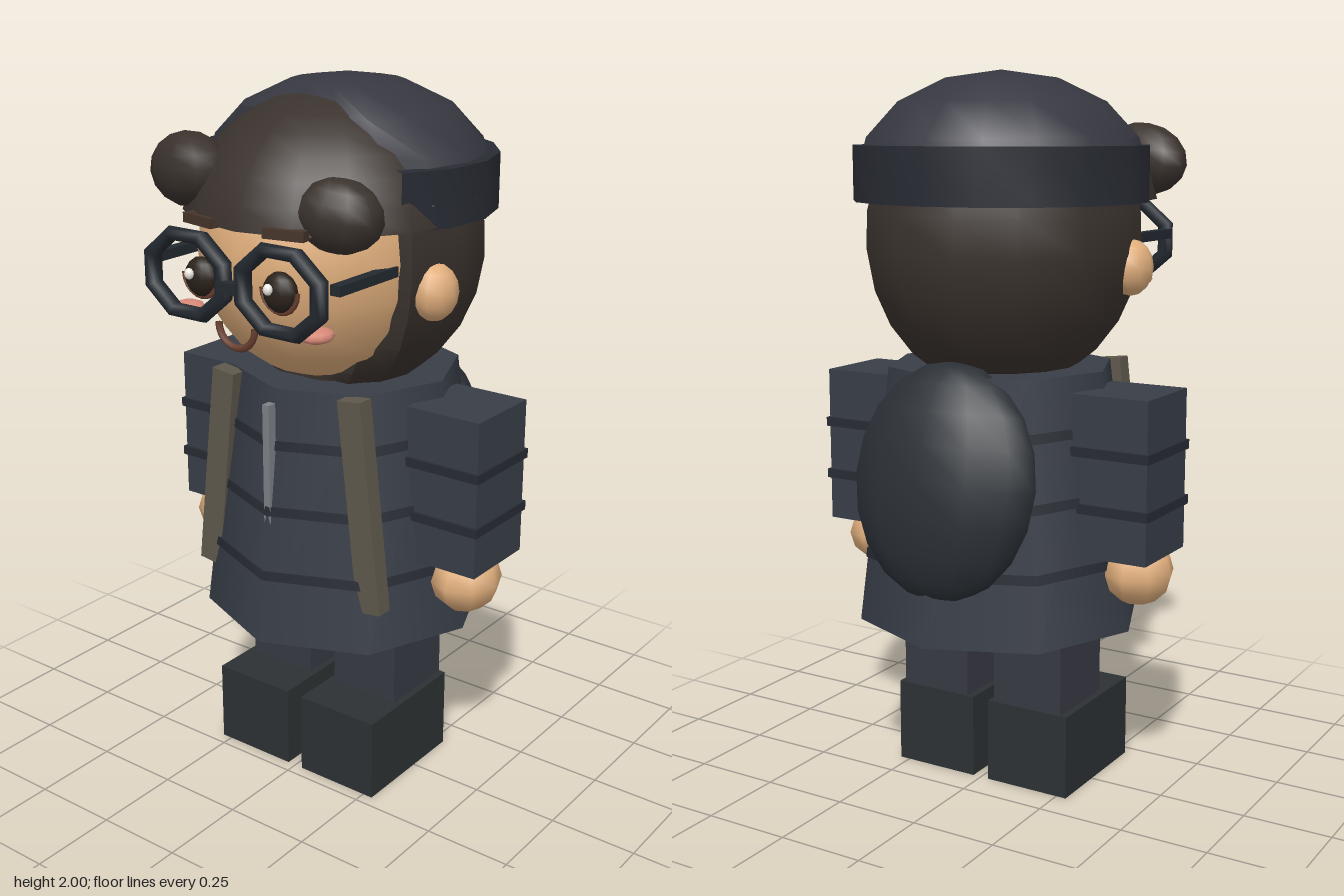
import * as THREE from 'three';
import { toCreasedNormals } from 'three/addons/utils/BufferGeometryUtils.js';

const mat = color => new THREE.MeshStandardMaterial({ color, side: THREE.DoubleSide });

const M = {
  skin: mat(0xe0ae7c), hair: mat(0x3a322d), hat: mat(0x363740), band: mat(0x282b33),
  coat: mat(0x383d47), seam: mat(0x272b33), trousers: mat(0x373943), boot: mat(0x2d3133),
  pack: mat(0x2b3036), strap: mat(0x5f584c), metal: mat(0x7c8187), frame: mat(0x232930),
  eye: mat(0x2b221b), brown: mat(0x6b4030), brow: mat(0x46342a), cheek: mat(0xd88a78), white: mat(0xf2efe6),
};

export function createModel() {
  const model = new THREE.Group();
  const add = (name, geo, material, pos = [0, 0, 0], rot = [0, 0, 0]) => {
    const m = new THREE.Mesh(geo, material);
    m.name = name;
    m.position.set(...pos);
    m.rotation.set(...rot);
    model.add(m);
  };
  // box given by two corners
  const box = (name, [x0, y0, z0], [x1, y1, z1], material) =>
    add(name, new THREE.BoxGeometry(Math.abs(x1 - x0), y1 - y0, z1 - z0), material,
      [(x0 + x1) / 2, (y0 + y1) / 2, (z0 + z1) / 2]);
  const blob = (r, w = 12, h = 8) => new THREE.SphereGeometry(1, w, h).scale(...r);
  // cuts the front of a shape off flat at z = limit
  const cutFront = (geo, limit) => {
    const p = geo.attributes.position;
    for (let i = 0; i < p.count; i++) p.setZ(i, Math.min(p.getZ(i), limit));
    return toCreasedNormals(geo, 0.8);
  };

  // legs, boots, arms and hands
  for (const s of [1, -1]) {
    const side = s > 0 ? 'left' : 'right';
    box(side + 'Leg', [s * 0.045, 0.22, -0.155], [s * 0.26, 0.52, 0.08], M.trousers);
    box(side + 'Boot', [s * 0.025, 0, -0.157], [s * 0.28, 0.24, 0.215], M.boot);
    box(side + 'Sleeve', [s * 0.29, 0.71, -0.16], [s * 0.515, 1.155, 0.08], M.coat);
    for (const y of [1.0, 0.845])
      box(side + 'SleeveSeam', [s * 0.285, y - 0.013, -0.168], [s * 0.522, y + 0.013, 0.088], M.seam);
    add(side + 'Hand', blob([0.095, 0.09, 0.11], 8, 6), M.skin, [s * 0.43, 0.65, -0.02]);
    // backpack strap
    add(side + 'Strap', new THREE.BoxGeometry(0.075, 0.6, 0.05), M.strap,
      [s * 0.25, 0.9, 0.22], [0, 0, s * 0.115]);
  }

  // eight-sided coat with seams
  const coatR = y => 0.41 - (y - 0.48) * 0.125;
  const ring = (y0, y1, extra = 0) =>
    new THREE.CylinderGeometry(coatR(y1) + extra, coatR(y0) + extra, y1 - y0, 8);
  add('coat', ring(0.48, 1.2), M.coat, [0, 0.84, -0.04]);
  for (const y of [1.045, 0.86, 0.675])
    add('coatSeam', ring(y - 0.013, y + 0.013, 0.005), M.seam, [0, y, -0.04]);
  box('zip', [-0.011, 0.8, 0.295], [0.011, 1.165, 0.323], M.metal);
  add('backpack', blob([0.28, 0.325, 0.14], 12, 10), M.pack, [0, 0.915, -0.333], [0.17, 0, 0]);

  // head, with back hair cut off flat behind the face
  add('head', blob([0.325, 0.365, 0.39], 16, 12), M.skin, [0, 1.555, 0.04]);
  const hair = new THREE.SphereGeometry(1, 14, 8, 0, Math.PI * 2, 1.15, Math.PI - 1.15).scale(0.38, 0.425, 0.4);
  add('backHair', cutFront(hair, 0.185), M.hair, [0, 1.55, -0.03]);

  // fringe shell and tufts
  add('fringe', new THREE.SphereGeometry(1, 8, 8, 0, Math.PI, 0, 1.38).scale(0.405, 0.39, 0.415),
    M.hair, [0, 1.58, 0.025]);
  add('rightTuft', blob([0.145, 0.1, 0.085], 10, 8), M.hair, [-0.27, 1.76, 0.295], [0, -0.28, 0.15]);
  add('leftTuft', blob([0.115, 0.095, 0.08], 10, 8), M.hair, [0.23, 1.7, 0.3], [0, 0.4, -0.15]);

  // knitted hat and its band, open at the front
  const dome = new THREE.SphereGeometry(1, 16, 4, 0, Math.PI * 2, 0, Math.PI / 2).scale(0.41, 0.29, 0.392);
  add('hat', cutFront(dome, 0.205), M.hat, [0, 1.71, -0.04]);
  const profile = [[0.82, -0.075], [1, -0.075], [1, 0.075], [0.9, 0.075]].map(a => new THREE.Vector2(...a));
  const open = 0.95;
  const band = new THREE.LatheGeometry(profile, 12, open, Math.PI * 2 - 2 * open).scale(0.415, 1, 0.395);
  add('hatBand', toCreasedNormals(band, 0.8), M.band, [0, 1.725, -0.04]);

  // face details, mirrored
  for (const s of [1, -1]) {
    const side = s > 0 ? 'left' : 'right';
    add(side + 'Ear', blob([0.06, 0.077, 0.07], 10, 8), M.skin, [s * 0.353, 1.475, 0.055]);
    add(side + 'Eye', blob([0.05, 0.053, 0.035]), M.eye, [s * 0.13, 1.515, 0.412]);
    add(side + 'EyeGlint', blob([0.013, 0.015, 0.012], 8, 6), M.white, [s * 0.13 - 0.005, 1.53, 0.455]);
    add(side + 'LowerLid', new THREE.TorusGeometry(0.058, 0.007, 5, 10, Math.PI), M.brown,
      [s * 0.13, 1.52, 0.415], [0, 0, Math.PI]);
    add(side + 'Brow', new THREE.BoxGeometry(0.115, 0.026, 0.04), M.brow, [s * 0.137, 1.66, 0.395], [0, s * 0.2, 0]);
    add(side + 'Cheek', blob([0.045, 0.02, 0.05], 10, 6), M.cheek, [s * 0.215, 1.41, 0.375]);
    // octagonal glasses
    add(side + 'Lens', new THREE.TorusGeometry(0.13, 0.024, 8, 8).rotateZ(Math.PI / 8).scale(1, 0.84, 1),
      M.frame, [s * 0.153, 1.523, 0.44]);
    box(side + 'Temple', [s * 0.28, 1.53, 0.16], [s * 0.31, 1.557, 0.405], M.frame);
  }
  box('bridge', [-0.033, 1.5, 0.44], [0.033, 1.53, 0.47], M.frame);
  add('mouth', new THREE.TorusGeometry(0.06, 0.01, 6, 12, Math.PI), M.brown, [0, 1.41, 0.43], [0, 0, Math.PI]);

  return model;
}
